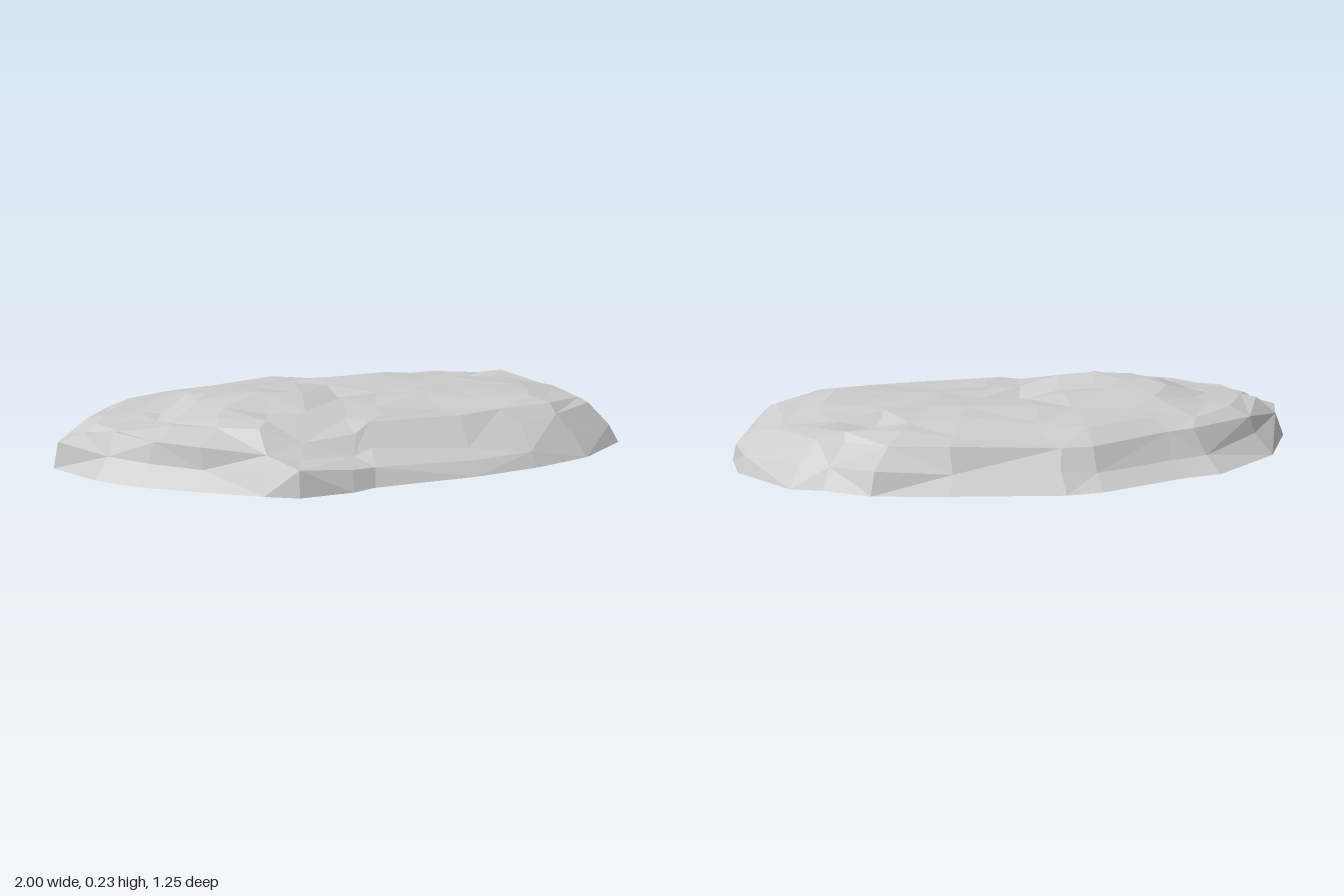
import * as THREE from 'three';

// Rim of the rock, clockwise from its right tip:
// x, z, height of the lower edge above the rim, and how far out that edge lies
const RIM = [
  [-1, .04, .08, .96], [-.97, -.08, .09, .93], [-.82, -.33, .06, .86], [-.56, -.51, .05, .86],
  [-.42, -.53, .05, .88], [-.12, -.62, .05, .88], [0, -.625, .05, .89], [.36, -.55, .05, .9],
  [.6, -.49, .07, .95], [.74, -.39, .06, .92], [.84, -.35, .06, .9], [.99, -.12, .06, .95],
  [1, .04, .06, .97], [.95, .3, .07, .93], [.75, .45, .06, .9], [.53, .52, .05, .94],
  [.3, .56, .04, .93], [-.06, .58, .06, .94], [-.14, .61, .07, .94], [-.32, .62, .08, .97],
  [-.42, .57, .07, .93], [-.6, .46, .06, .88], [-.77, .35, .06, .87], [-.89, .23, .07, .87],
];

// Height limits along x and along z
const ALONG_X = [[-1, .08], [-.97, .1], [-.83, .145], [-.62, .16], [-.5, .215], [-.22, .235],
  [0, .195], [.3, .185], [.67, .18], [.88, .14], [.98, .07], [1, .04]];
const ALONG_Z = [[-.625, .01], [-.56, .09], [-.47, .165], [-.3, .18], [-.2, .19], [-.12, .22],
  [-.04, .2], [.11, .235], [.2, .185], [.4, .165], [.49, .08], [.62, .08]];

// Hollows and grooves: x, z, half width, half depth, drop
const DENTS = [[-.02, .02, .17, .08, .04], [.15, -.36, .28, .06, .03],
  [.56, -.2, .16, .06, .04], [.25, .22, .35, .07, .015], [-.45, -.3, .2, .08, .015],
  [.3, .5, .4, .06, .02]];

// Shares of the way from the middle spine to the rim, inside the lower edge
const INNER = [.8, .67, .52, .35, .17, 0];

function profile(points, v) {
  if (v <= points[0][0]) return points[0][1];
  for (let i = 1; i < points.length; i++) {
    const [a, ya] = points[i - 1], [b, yb] = points[i];
    if (v <= b) return ya + (yb - ya) * (v - a) / (b - a);
  }
  return points[points.length - 1][1];
}

function seeded(seed) {
  return () => {
    seed = (seed * 16807) % 2147483647;
    return seed / 2147483647 - .5;
  };
}

function height(x, z, t, wall) {
  const cap = wall + (.24 - wall) * Math.min(1, (1 - t) / .6) ** .8;
  let y = Math.min(profile(ALONG_X, x), profile(ALONG_Z, z), cap);
  for (const [dx, dz, w, d, drop] of DENTS) {
    y -= drop * Math.exp(-(((x - dx) / w) ** 2) - ((z - dz) / d) ** 2);
  }
  return y;
}

// Faceted shell: outlines shrink from the rim onto a spine, open underneath
function rockGeometry() {
  const rand = seeded(4711), n = RIM.length, pos = [], index = [];
  const addPoint = (i, t, loose, heightAt) => {
    const [rx, rz] = RIM[i], sx = -.55 * Math.cos(i / n * Math.PI * 2), sz = .02;
    const x = sx + (rx - sx) * t + rand() * .06 * loose;
    const z = sz + (rz - sz) * t + rand() * .04 * loose;
    pos.push(x, heightAt(x, z), z);
  };
  for (let i = 0; i < n; i++) addPoint(i, 1, 0, () => 0);
  for (let i = 0; i < n; i++) {
    addPoint(i, RIM[i][3], 0, () => RIM[i][2] + rand() * .02);
  }
  for (const t of INNER) {
    const loose = Math.min(1, t * 2);
    for (let i = 0; i < n; i++) {
      addPoint(i, t, loose, (x, z) => height(x, z, t, RIM[i][2]) + rand() * .02 * loose);
    }
  }
  for (let r = 0; r < INNER.length + 1; r++) {
    for (let i = 0; i < n; i++) {
      const a = r * n + i, b = r * n + (i + 1) % n, c = a + n, d = b + n;
      if ((r + i) % 2) index.push(a, b, c, b, d, c);
      else index.push(a, d, c, a, b, d);
    }
  }
  const g = new THREE.BufferGeometry();
  g.setAttribute('position', new THREE.Float32BufferAttribute(pos, 3));
  g.setIndex(index);
  g.computeVertexNormals();
  return g;
}

export function createModel() {
  const group = new THREE.Group();
  group.name = 'flatRock';
  const material = new THREE.MeshStandardMaterial({
    color: 0xcccccc, flatShading: true, side: THREE.DoubleSide,
  });
  const rock = new THREE.Mesh(rockGeometry(), material);
  rock.name = 'rockShell';
  group.add(rock);
  return group;
}
